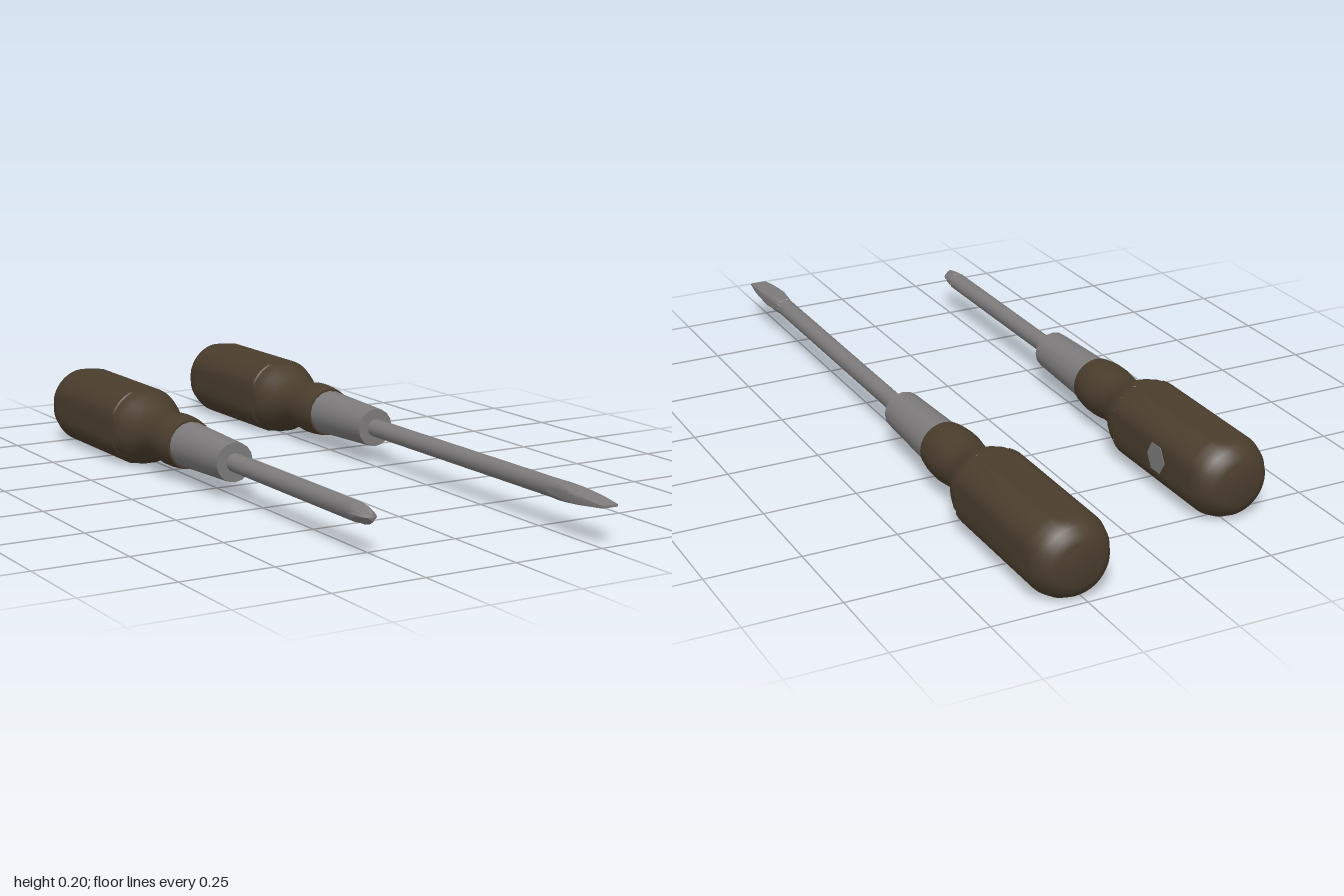
import * as THREE from 'three';
import { toCreasedNormals } from 'three/addons/utils/BufferGeometryUtils.js';

const wood = new THREE.MeshStandardMaterial({ color: 0x4a3d2d });
wood.name = 'dark brown handle';
const steel = new THREE.MeshStandardMaterial({ color: 0x7d7b7b });
steel.name = 'grey steel';

// Revolves [radius, z] points around z, then moves vertices by an optional rule
function turned(name, profile, sides, material, rule) {
  let geo = new THREE.LatheGeometry(profile.map(([r, z]) => new THREE.Vector2(r, z)), sides);
  geo.rotateX(Math.PI / 2);
  const pos = geo.attributes.position;
  const v = new THREE.Vector3();
  if (rule) {
    for (let i = 0; i < pos.count; i++) {
      v.fromBufferAttribute(pos, i);
      rule(v);
      pos.setXYZ(i, v.x, v.y, v.z);
    }
  }
  geo = toCreasedNormals(geo, 0.6);
  const mesh = new THREE.Mesh(geo, material);
  mesh.name = name;
  return mesh;
}

const clamp = THREE.MathUtils.clamp;

// Handle and ferrule, with the butt end at z = 0
function makeGrip() {
  const grip = new THREE.Group();
  grip.name = 'grip';
  // Round bar planed flat on four sides
  const plane = (v) => {
    v.x = clamp(v.x, -0.1, 0.1);
    v.y = clamp(v.y, -0.1, 0.1);
  };
  grip.add(turned('handleBody', [
    [0, 0], [0.056, 0], [0.075, 0.008], [0.09, 0.022], [0.102, 0.042], [0.11, 0.07],
    [0.11, 0.437], [0.107, 0.441], [0, 0.441],
  ], 44, wood, plane));
  grip.add(turned('handleNeck', [
    [0.107, 0.441], [0.103, 0.46], [0.094, 0.483], [0.08, 0.51], [0.07, 0.54], [0.066, 0.57],
    [0.069, 0.6], [0.073, 0.63], [0.073, 0.66], [0.071, 0.685], [0.067, 0.71], [0, 0.71],
  ], 32, wood, plane));
  grip.add(turned('ferrule', [[0, 0.7], [0.062, 0.7], [0.062, 0.71], [0.053, 0.957], [0, 0.957]], 16, steel));
  return grip;
}

// Flat blade: narrows in height while flaring and tapering in width
function makeFlatDriver() {
  const driver = new THREE.Group();
  driver.name = 'flatScrewdriver';
  driver.add(makeGrip());
  driver.add(turned('shaft', [[0.025, 0.94], [0.025, 1.78]], 12, steel));
  const rows = [[1.78, 0.025], [1.82, 0.028], [1.86, 0.032], [1.91, 0.032], [1.95, 0.029], [2, 0.023]];
  const profile = rows.map(([z, r]) => [r, z]);
  profile.push([0, 2]);
  driver.add(turned('flatBlade', profile, 24, steel, (v) => {
    const half = THREE.MathUtils.lerp(0.025, 0.003, (v.z - 1.78) / 0.22);
    v.y = clamp(v.y, -half, half);
  }));
  return driver;
}

// Cross tip: four grooves deepen towards the point
function makeCrossDriver() {
  const driver = new THREE.Group();
  driver.name = 'crossScrewdriver';
  driver.add(makeGrip());
  driver.add(turned('shaft', [[0.025, 0.94], [0.025, 1.56]], 12, steel));
  driver.add(turned('crossTip', [
    [0.025, 1.56], [0.024, 1.59], [0.02, 1.61], [0.011, 1.625], [0, 1.629],
  ], 16, steel, (v) => {
    const groove = (1 - Math.cos(4 * Math.atan2(v.y, v.x))) / 2;
    const depth = 0.35 * clamp((v.z - 1.56) / 0.05, 0, 1);
    v.x *= 1 - depth * groove;
    v.y *= 1 - depth * groove;
  }));
  // Small six-sided plate set into one side of the handle
  const plate = new THREE.Mesh(new THREE.CylinderGeometry(0.041, 0.041, 0.004, 6), steel);
  plate.name = 'handlePlate';
  plate.rotation.z = Math.PI / 2;
  plate.position.set(0.1, 0, 0.225);
  driver.add(plate);
  return driver;
}

export function createModel() {
  const model = new THREE.Group();
  model.name = 'screwdrivers';
  const flat = makeFlatDriver();
  flat.position.set(0.272, 0.1, -1);
  const cross = makeCrossDriver();
  cross.position.set(-0.272, 0.1, -0.817);
  model.add(flat, cross);
  return model;
}
